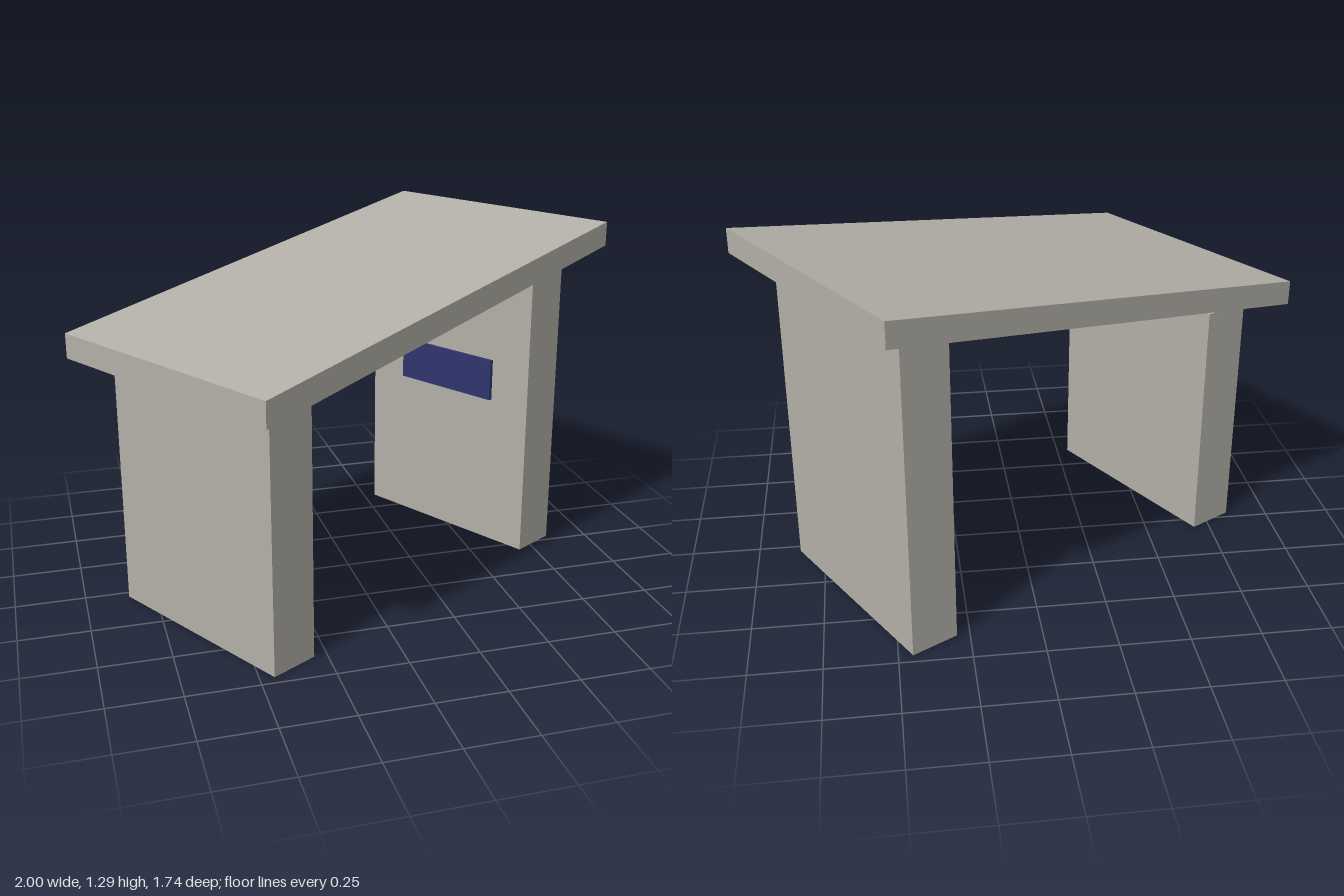
import * as THREE from 'three';

const concrete = new THREE.MeshStandardMaterial({ color: 0xb2b0a8 });
concrete.name = 'concrete grey';
const navy = new THREE.MeshStandardMaterial({ color: 0x30356f });
navy.name = 'navy blue';

// Extrudes a side profile across the depth, centred on z = 0.
function slab(name, points, depth, material) {
  const shape = new THREE.Shape(points.map(([x, y]) => new THREE.Vector2(x, y)));
  const geometry = new THREE.ExtrudeGeometry(shape, { depth, bevelEnabled: false });
  geometry.translate(0, 0, -depth / 2);
  const mesh = new THREE.Mesh(geometry, material);
  mesh.name = name;
  return mesh;
}

export function createModel() {
  const model = new THREE.Group();
  model.name = 'shelter';

  const half = 0.86;
  const inner = 0.569, outer = 0.748;
  // Height of the sloping roof underside
  const underside = (x) => 0.914 + (x + half) * (0.283 / (2 * half));

  // Sloping roof with vertical ends
  model.add(slab('roof', [
    [-half, underside(-half)], [half, underside(half)],
    [half, underside(half) + 0.089], [-half, underside(-half) + 0.089],
  ], 1.017, concrete));

  // Low wall stops level, just short of the roof
  model.add(slab('lowWall', [
    [-outer, 0], [-inner, 0], [-inner, 0.908], [-outer, 0.908],
  ], 0.79, concrete));

  // High wall has a top cut to the roof slope
  model.add(slab('highWall', [
    [inner, 0], [outer, 0], [outer, underside(outer)], [inner, underside(inner)],
  ], 0.79, concrete));

  // Sign panel on the inside of the high wall
  const sign = new THREE.Mesh(new THREE.BoxGeometry(0.014, 0.16, 0.45), navy);
  sign.name = 'signPanel';
  sign.position.set(inner - 0.007, 0.67, 0);
  model.add(sign);

  // The shelter stands at an angle to the front
  model.rotation.y = Math.PI / 6;
  const root = new THREE.Group();
  root.add(model);
  return root;
}
